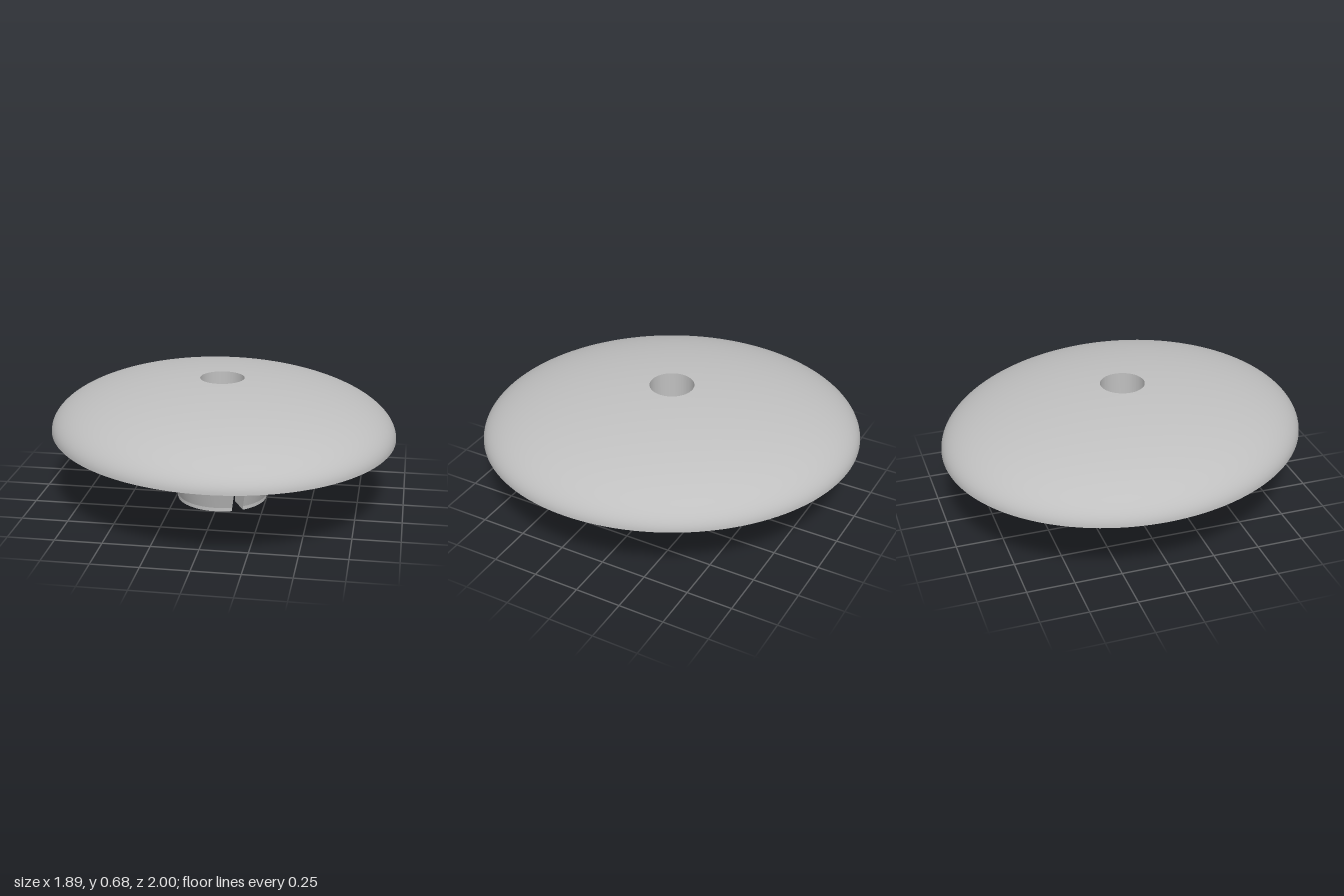
import * as THREE from 'three';
import { toCreasedNormals } from 'three/addons/utils/BufferGeometryUtils.js';

const BORE = 0.12, STEM = 0.247, BARB = 0.28, SLOT = 0.031; // radii and half slot width
const BASE = 0.4, RISE = 0.282, SLOT_TOP = 0.315;
const MINOR = 0.922, MAJOR = 1.022;

const grey = new THREE.MeshStandardMaterial({ color: 0xc0c0c0 });
grey.name = 'plain grey';

function part(name, geometry) {
  const mesh = new THREE.Mesh(toCreasedNormals(geometry, 0.5), grey);
  mesh.name = name;
  return mesh;
}

// Half ring beside the slot, its outer wall tapering from radius r0 to r1
function halfRing(y0, y1, r0, r1) {
  const a = Math.acos(SLOT / r0), b = Math.acos(SLOT / BORE);
  const shape = new THREE.Shape();
  shape.absarc(0, 0, r0, -a, a, false);
  shape.absarc(0, 0, BORE, b, -b, true);
  const geo = new THREE.ExtrudeGeometry(shape, { depth: y1 - y0, bevelEnabled: false, curveSegments: 40 });
  const p = geo.attributes.position;
  for (let i = 0; i < p.count; i++) {
    const x = p.getX(i), y = p.getY(i);
    if (p.getZ(i) < 1e-6 || Math.hypot(x, y) < 0.2) continue;
    // keep the slot walls parallel while the rim widens
    const nx = x < SLOT + 1e-4 ? x : x * r1 / r0;
    p.setXY(i, nx, Math.sign(y) * Math.sqrt(Math.max(0, r1 * r1 - nx * nx)));
  }
  geo.rotateX(-Math.PI / 2);
  geo.translate(0, y0, 0);
  return geo;
}

// Elliptical dome with a round bore: a lathe whose rows are stretched to the oval outline
function domeGeometry() {
  const pts = [new THREE.Vector2(BORE, BASE)];
  const n = 32, start = Math.asin(BORE);
  for (let i = 0; i <= n; i++) {
    const t = Math.PI / 2 + (start - Math.PI / 2) * i / n;
    pts.push(new THREE.Vector2(Math.sin(t), BASE + RISE * Math.cos(t)));
  }
  pts.push(new THREE.Vector2(BORE, BASE));
  const geo = new THREE.LatheGeometry(pts, 128);
  const p = geo.attributes.position;
  for (let i = 0; i < p.count; i++) {
    const x = p.getX(i), z = p.getZ(i), rho = Math.hypot(x, z);
    const c = x / rho, s = z / rho;
    const edge = 1 / Math.hypot(c / MINOR, s / MAJOR);
    const r = BORE + (rho - BORE) / (1 - BORE) * (edge - BORE);
    const y = p.getY(i) > BASE + 1e-4
      ? BASE + RISE * Math.sqrt(Math.max(0, 1 - (r / edge) ** 2)) : BASE;
    p.setXYZ(i, c * r, y, s * r);
  }
  return geo;
}

export function createModel() {
  const model = new THREE.Group();
  model.name = 'ovalCapPlug';
  model.add(part('dome', domeGeometry()));

  // Unslotted top of the stem
  const collar = [[BORE, BASE], [BORE, SLOT_TOP], [STEM, SLOT_TOP], [STEM, BASE]];
  model.add(part('stemTop', new THREE.LatheGeometry(collar.map(([r, y]) => new THREE.Vector2(r, y)), 80)));

  // Two snap legs separated by the slot
  for (const [side, turn] of [['left', 0], ['right', Math.PI]]) {
    const leg = new THREE.Group();
    leg.name = side + 'SnapLeg';
    leg.add(part('legFoot', halfRing(0, 0.02, STEM, STEM)));
    leg.add(part('legBarb', halfRing(0.02, 0.125, STEM, BARB)));
    leg.add(part('legShaft', halfRing(0.125, SLOT_TOP, STEM, STEM)));
    leg.rotation.y = turn;
    model.add(leg);
  }

  // The slot and the long axis of the oval share one direction
  model.rotation.y = THREE.MathUtils.degToRad(28.6);
  const root = new THREE.Group();
  root.name = 'capPlug';
  root.add(model);
  return root;
}
